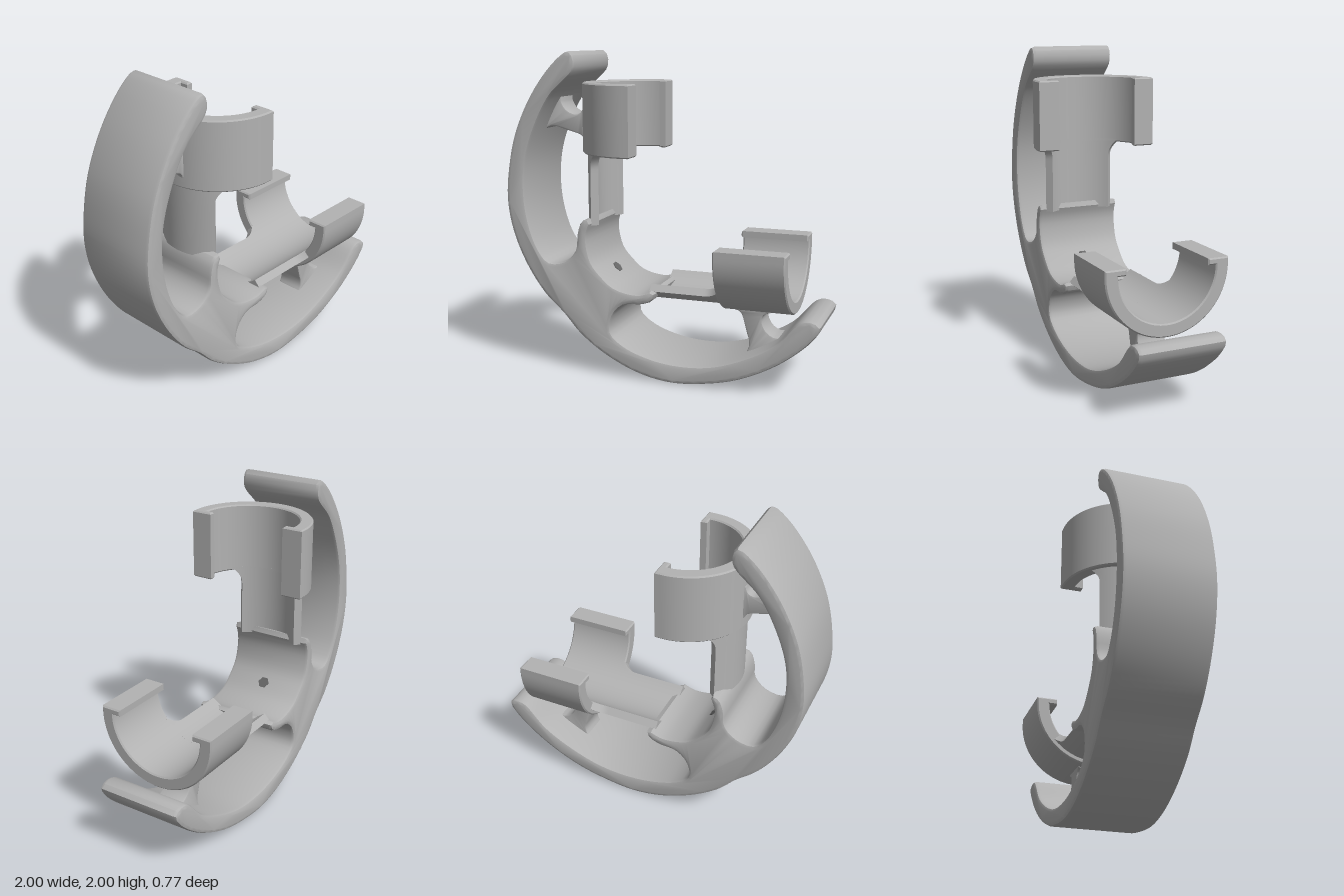
import * as THREE from 'three';
import { toCreasedNormals } from 'three/addons/utils/BufferGeometryUtils.js';

const V2 = (p) => new THREE.Vector2(p[0], p[1]);
const grey = new THREE.MeshStandardMaterial({ color: 0xb2b2b2 });
grey.name = 'grey';
const darkGrey = new THREE.MeshStandardMaterial({ color: 0x666666 });
darkGrey.name = 'dark grey';

const AXIS_X = -0.17; // axis of the upper clip and column
const INNER = 0.305;

function mesh(name, geometry, material = grey, crease = 0.6) {
  const m = new THREE.Mesh(toCreasedNormals(geometry, crease), material);
  m.name = name;
  return m;
}

// Extrusion centred on z = 0 with rounded edges that stay inside the outline
function slab(points, depth, bevel) {
  const geo = new THREE.ExtrudeGeometry(new THREE.Shape(points), {
    depth: depth - 2 * bevel, bevelEnabled: true, bevelThickness: bevel,
    bevelSize: bevel, bevelOffset: -bevel, bevelSegments: 2,
  });
  return geo.translate(0, 0, bevel - depth / 2);
}

function smoothLoop(points, samples) {
  const curve = new THREE.CatmullRomCurve3(
    points.map(([x, y]) => new THREE.Vector3(x, y, 0)), true, 'centripetal');
  return curve.getSpacedPoints(samples).slice(0, -1).map((p) => new THREE.Vector2(p.x, p.y));
}

// Crescent rim and elbow hub: half an outline, mirrored over the diagonal
function makeFrame() {
  const half = [
    [-0.625, 0.375], [-0.75, 0.49], [-0.875, 0.67], [-0.965, 0.88], [-1, 1.08],
    [-0.985, 1.28], [-0.93, 1.51], [-0.805, 1.76], [-0.645, 1.95], [-0.56, 2],
    [-0.53, 1.97], [-0.53, 1.89], [-0.69, 1.73], [-0.805, 1.52], [-0.868, 1.32],
    [-0.88, 1.11], [-0.85, 0.92], [-0.79, 0.77], [-0.72, 0.695], [-0.605, 0.712],
    [-0.535, 0.785], [-0.523, 0.89], [-0.495, 0.965], [-0.45, 0.985], [-0.437, 0.96],
    [-0.458, 0.9], [-0.46, 0.83], [-0.43, 0.715], [-0.365, 0.635],
  ];
  const other = half.slice(1, -1).reverse().map(([x, y]) => [y - 1, x + 1]);
  return mesh('frame', slab(smoothLoop([...half, ...other], 240), 0.55, 0.022));
}

// C-shaped clip with small inward lips at its open ends
function makeClip() {
  const outer = 0.385, end = -0.13, lip = 0.255, y0 = 1.382, y1 = 1.812;
  const s = new THREE.Shape();
  s.moveTo(end, outer);
  s.lineTo(AXIS_X, outer);
  s.absarc(AXIS_X, 0, outer, Math.PI / 2, Math.PI * 1.5, false);
  s.lineTo(end, -outer);
  s.lineTo(end, -lip);
  s.lineTo(AXIS_X, -lip);
  s.lineTo(AXIS_X, -INNER);
  s.absarc(AXIS_X, 0, INNER, Math.PI * 1.5, Math.PI / 2, true);
  s.lineTo(AXIS_X, lip);
  s.lineTo(end, lip);
  const geo = new THREE.ExtrudeGeometry(s, {
    depth: y1 - y0 - 0.016, bevelEnabled: true, bevelThickness: 0.008,
    bevelSize: 0.008, bevelOffset: -0.008, bevelSegments: 1, curveSegments: 32,
  });
  return mesh('clip', geo.rotateX(-Math.PI / 2).translate(0, y0 + 0.008, 0));
}

// Curved trough joining hub to clip, flaring towards the clip
function makeArm() {
  const y0 = 0.94, y1 = 1.4;
  const geo = new THREE.BoxGeometry(1, 1, 1, 20, 24, 1);
  const pos = geo.attributes.position;
  for (let i = 0; i < pos.count; i++) {
    const y = THREE.MathUtils.lerp(y0, y1, pos.getY(i) + 0.5);
    const flare = Math.max(0, (y - 1.29) / 0.11);
    const a = 2 * pos.getX(i) * (0.7 + 0.22 * flare * flare);
    const r = pos.getZ(i) > 0 ? 0.356 : INNER;
    pos.setXYZ(i, AXIS_X - r * Math.cos(a), y, r * Math.sin(a));
  }
  return mesh('arm', geo.toNonIndexed());
}

// Flared brace between rim and clip
function makeBrace() {
  const s = new THREE.Shape();
  s.moveTo(-0.84, 1.5);
  s.lineTo(-0.8, 1.52);
  s.quadraticCurveTo(-0.76, 1.545, -0.7, 1.52);
  s.lineTo(-0.59, 1.49);
  s.quadraticCurveTo(-0.555, 1.48, -0.55, 1.45);
  s.lineTo(-0.52, 1.45);
  s.lineTo(-0.52, 1.66);
  s.lineTo(-0.553, 1.66);
  s.quadraticCurveTo(-0.56, 1.605, -0.61, 1.61);
  s.quadraticCurveTo(-0.68, 1.625, -0.7, 1.69);
  s.lineTo(-0.7, 1.74);
  s.lineTo(-0.78, 1.68);
  return mesh('brace', slab(s.getPoints(8), 0.18, 0.01));
}

function makeLimb(name) {
  const limb = new THREE.Group();
  limb.name = name;
  limb.add(makeClip(), makeArm(), makeBrace());
  return limb;
}

export function createModel() {
  const model = new THREE.Group();
  model.name = 'doubleClipBracket';
  model.add(makeFrame());

  const upright = makeLimb('uprightLimb');
  // Half turn about the diagonal swaps the upright and level directions
  const level = makeLimb('levelLimb');
  level.quaternion.setFromAxisAngle(new THREE.Vector3(1, 1, 0).normalize(), Math.PI);
  level.position.set(-1, 1, 0);
  model.add(upright, level);

  // Small hexagonal bore in the hollow of the hub
  const bore = mesh('bore', new THREE.CylinderGeometry(0.038, 0.038, 0.008, 6), darkGrey);
  bore.rotation.z = -Math.PI / 4;
  bore.position.set(-0.365, 0.635, 0);
  model.add(bore);
  return model;
}
